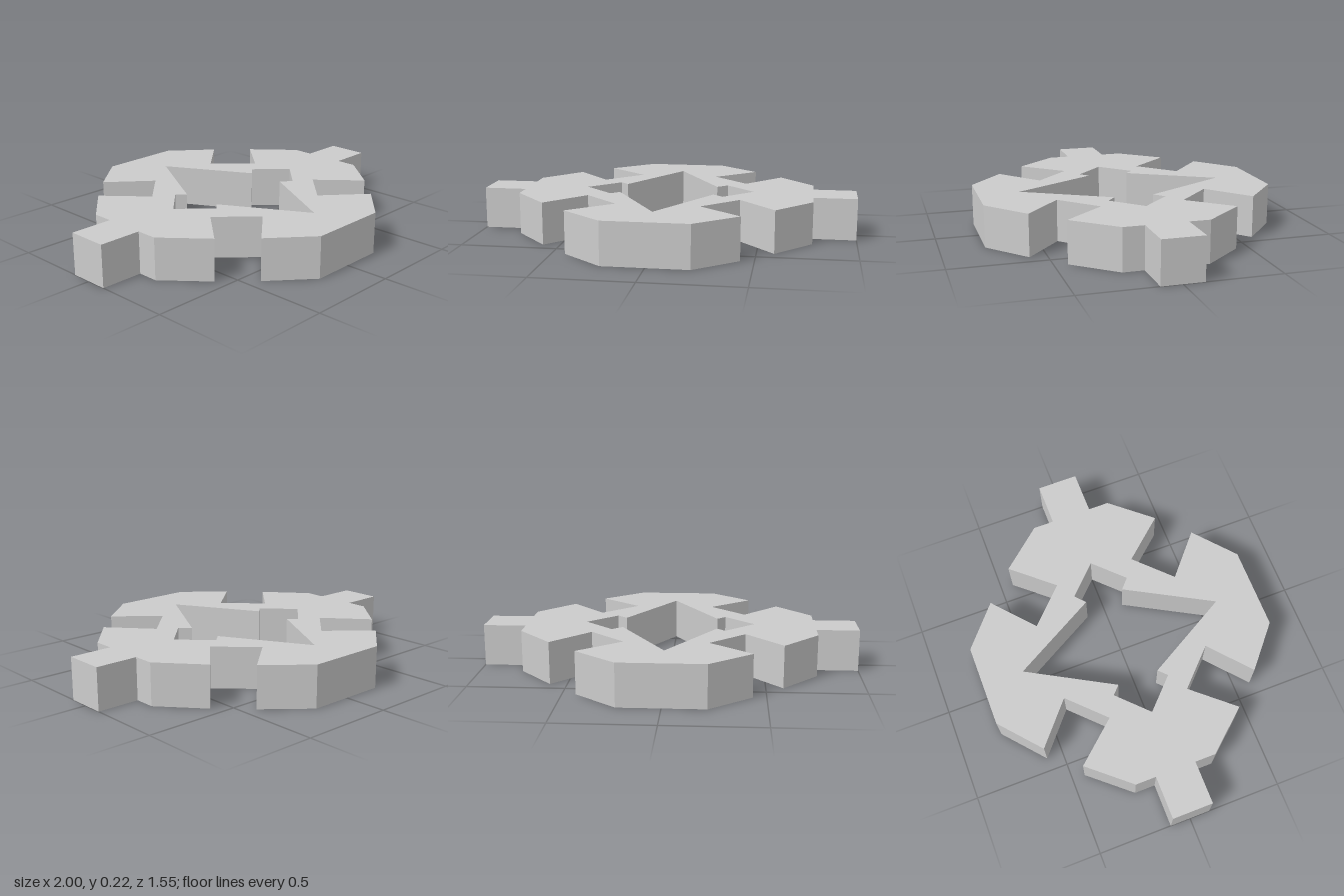
import * as THREE from 'three';

const HEIGHT = 0.22;

// Quarter of the outer outline (x, z), from the side tab round to the flat end
const OUTER = [
  [1, 0.108], [0.773, 0.108], [0.773, 0.218], [0.588, 0.433],
  [0.4, 0.217], [0.215, 0.4], [0.432, 0.588], [0.217, 0.773],
];

// Star-shaped opening: side points, small notches and long end points
const HOLE = [
  [0.457, 0], [0.304, 0.153], [0.25, 0.104], [0, 0.553],
  [-0.25, 0.11], [-0.294, 0.153], [-0.45, 0], [-0.294, -0.153],
  [-0.25, -0.11], [0, -0.553], [0.25, -0.104], [0.304, -0.153],
];

const toVectors = (points) => points.map(([x, z]) => new THREE.Vector2(x, z));

// Mirror the quarter into a full closed outline
function mirrorQuarter(quarter) {
  const flip = (sx, sz) => quarter.map(([x, z]) => [x * sx, z * sz]);
  return [
    ...flip(1, 1),
    ...flip(-1, 1).reverse(),
    ...flip(-1, -1),
    ...flip(1, -1).reverse(),
  ];
}

export function createModel() {
  const group = new THREE.Group();
  group.name = 'chainLinkPlate';

  // Flat plate with a central opening
  const shape = new THREE.Shape(toVectors(mirrorQuarter(OUTER)));
  shape.holes.push(new THREE.Path(toVectors(HOLE)));
  const geometry = new THREE.ExtrudeGeometry(shape, { depth: HEIGHT, bevelEnabled: false });
  geometry.rotateX(-Math.PI / 2);

  const material = new THREE.MeshStandardMaterial({ color: 0xcccccc, flatShading: true });
  const plate = new THREE.Mesh(geometry, material);
  plate.name = 'plate';
  group.add(plate);
  return group;
}
